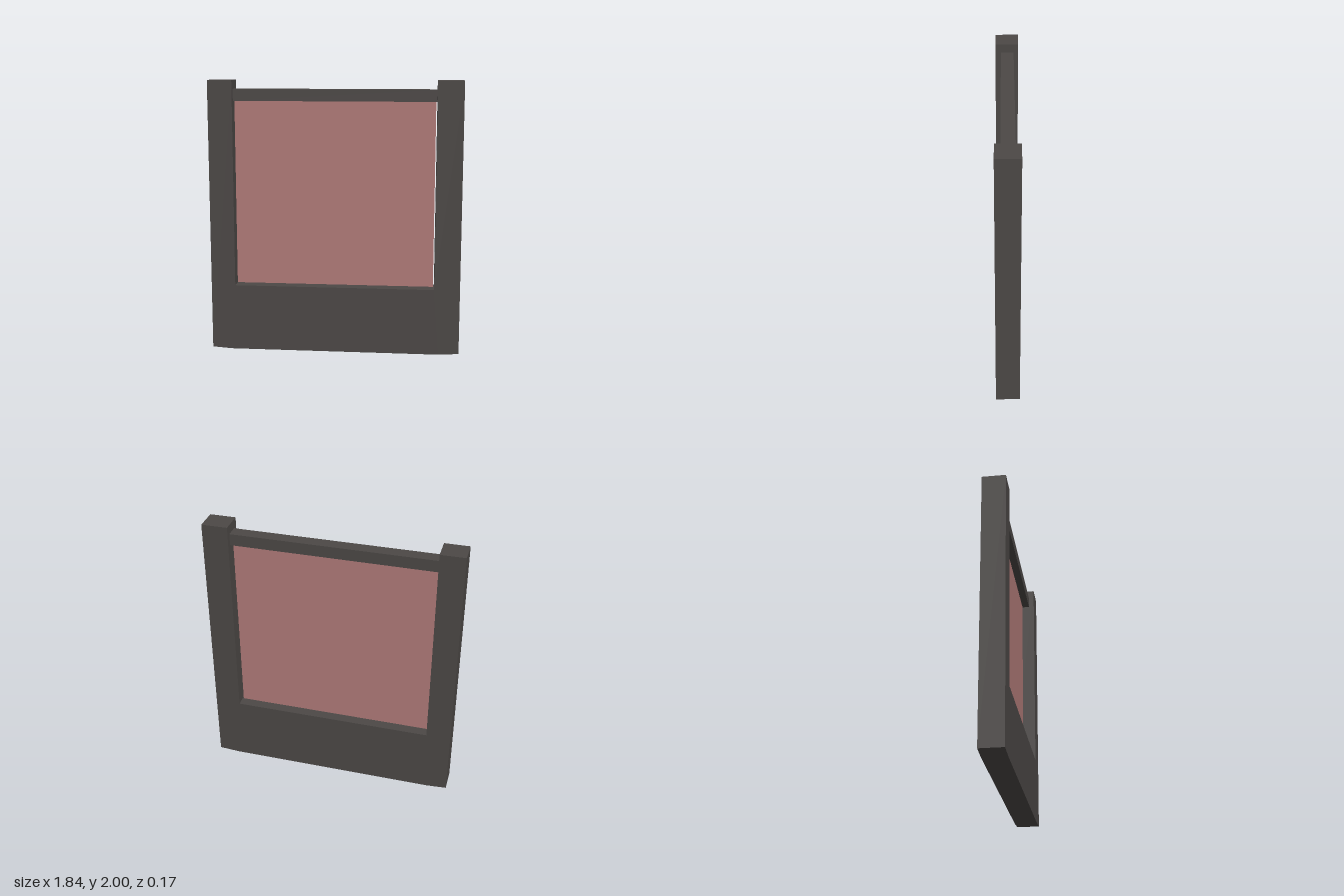
import * as THREE from 'three';

export function createModel() {
  const group = new THREE.Group();
  const frameMat = new THREE.MeshStandardMaterial({ color: 0x4c4846, flatShading: true });
  const paneMat = new THREE.MeshStandardMaterial({ color: 0xb07a78, side: THREE.DoubleSide });

  const add = (name, geometry, material, x, y, z) => {
    const mesh = new THREE.Mesh(geometry, material);
    mesh.name = name;
    mesh.position.set(x, y, z);
    group.add(mesh);
  };

  // U-shaped frame: two posts joined by a solid lower panel, with a slightly bowed foot
  const depth = 0.17;
  const outline = [
    [-0.918, 0.01], [-0.77, 0], [0.77, 0], [0.918, 0.01], [0.918, 2],
    [0.73, 2], [0.73, 0.49], [-0.74, 0.49], [-0.74, 2], [-0.918, 2],
  ].map(([x, y]) => new THREE.Vector2(x, y));
  const frame = new THREE.ExtrudeGeometry(new THREE.Shape(outline), { depth, bevelEnabled: false });
  add('frame', frame, frameMat, 0, 0, -depth / 2);

  // Slim rail between the posts
  add('topRail', new THREE.BoxGeometry(1.47, 0.085, 0.095), frameMat, -0.005, 1.893, -0.003);

  // Thin pane filling the opening, with a narrow gap at one side
  add('pane', new THREE.PlaneGeometry(1.462, 1.38), paneMat, -0.009, 1.175, -0.01);

  return group;
}
